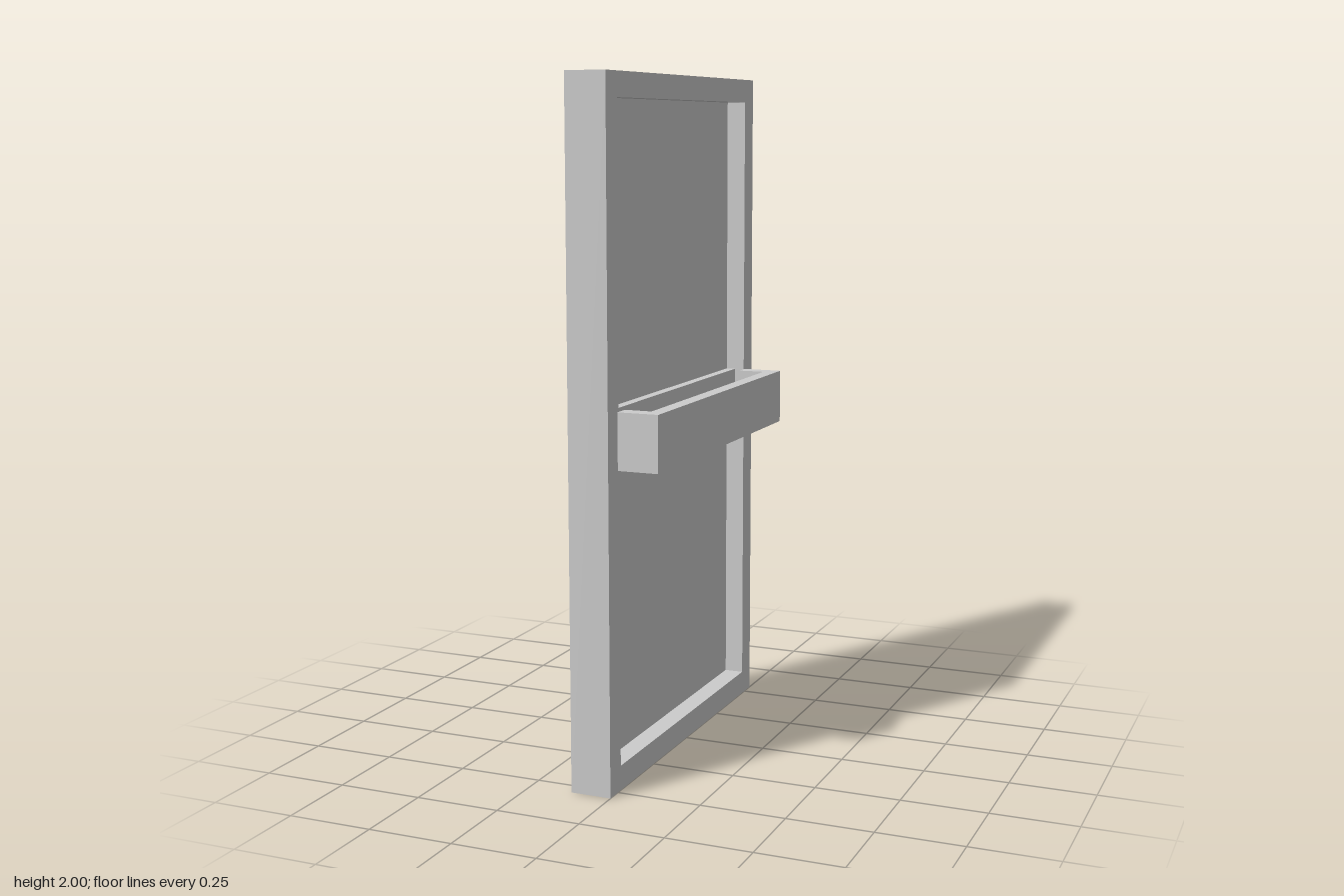
import * as THREE from 'three';

const material = new THREE.MeshStandardMaterial({ color: 0xcccccc, flatShading: true });

// Box given by its minimum and maximum corners
function block(name, [x0, y0, z0], [x1, y1, z1]) {
  const mesh = new THREE.Mesh(new THREE.BoxGeometry(x1 - x0, y1 - y0, z1 - z0), material);
  mesh.name = name;
  mesh.position.set((x0 + x1) / 2, (y0 + y1) / 2, (z0 + z1) / 2);
  return mesh;
}

function rectangle(PathType, u0, v0, u1, v1) {
  return new PathType([[u0, v0], [u1, v0], [u1, v1], [u0, v1]].map(([u, v]) => new THREE.Vector2(u, v)));
}

export function createModel() {
  const door = new THREE.Group();
  door.name = 'door';
  const back = -0.121, front = 0, middle = (back + front) / 2;
  const railBottom = 0.92, railTop = 1.083;

  // Outer frame: rectangular ring extruded through the door thickness
  const ring = rectangle(THREE.Shape, -0.55, 0, 0.55, 2);
  ring.holes.push(rectangle(THREE.Path, -0.48, 0.072, 0.48, 1.93));
  const frameGeometry = new THREE.ExtrudeGeometry(ring, { depth: front - back, bevelEnabled: false });
  frameGeometry.rotateY(Math.PI / 2).translate(back, 0, 0);
  const frame = new THREE.Mesh(frameGeometry, material);
  frame.name = 'frame';
  door.add(frame);

  // Thin pane and the cross rail that divides it, both set back in the frame
  door.add(block('pane', [middle - 0.002, 0.072, -0.48], [middle + 0.002, 1.93, 0.48]));
  door.add(block('crossRail', [middle - 0.03, railBottom, -0.48], [middle + 0.03, railTop, 0.48]));

  // Push handle: U-shaped bracket seen from above, extruded upwards
  const bracket = new THREE.Shape([
    [0, -0.488], [0.121, -0.488], [0.121, 0.49], [0, 0.49],
    [0, 0.445], [0.08, 0.445], [0.08, -0.439], [0, -0.439],
  ].map(([x, y]) => new THREE.Vector2(x, y)));
  const handleGeometry = new THREE.ExtrudeGeometry(bracket, { depth: railTop - railBottom, bevelEnabled: false });
  handleGeometry.rotateX(-Math.PI / 2).translate(front, railBottom, 0);
  const handle = new THREE.Mesh(handleGeometry, material);
  handle.name = 'pushHandle';
  door.add(handle);

  return door;
}
